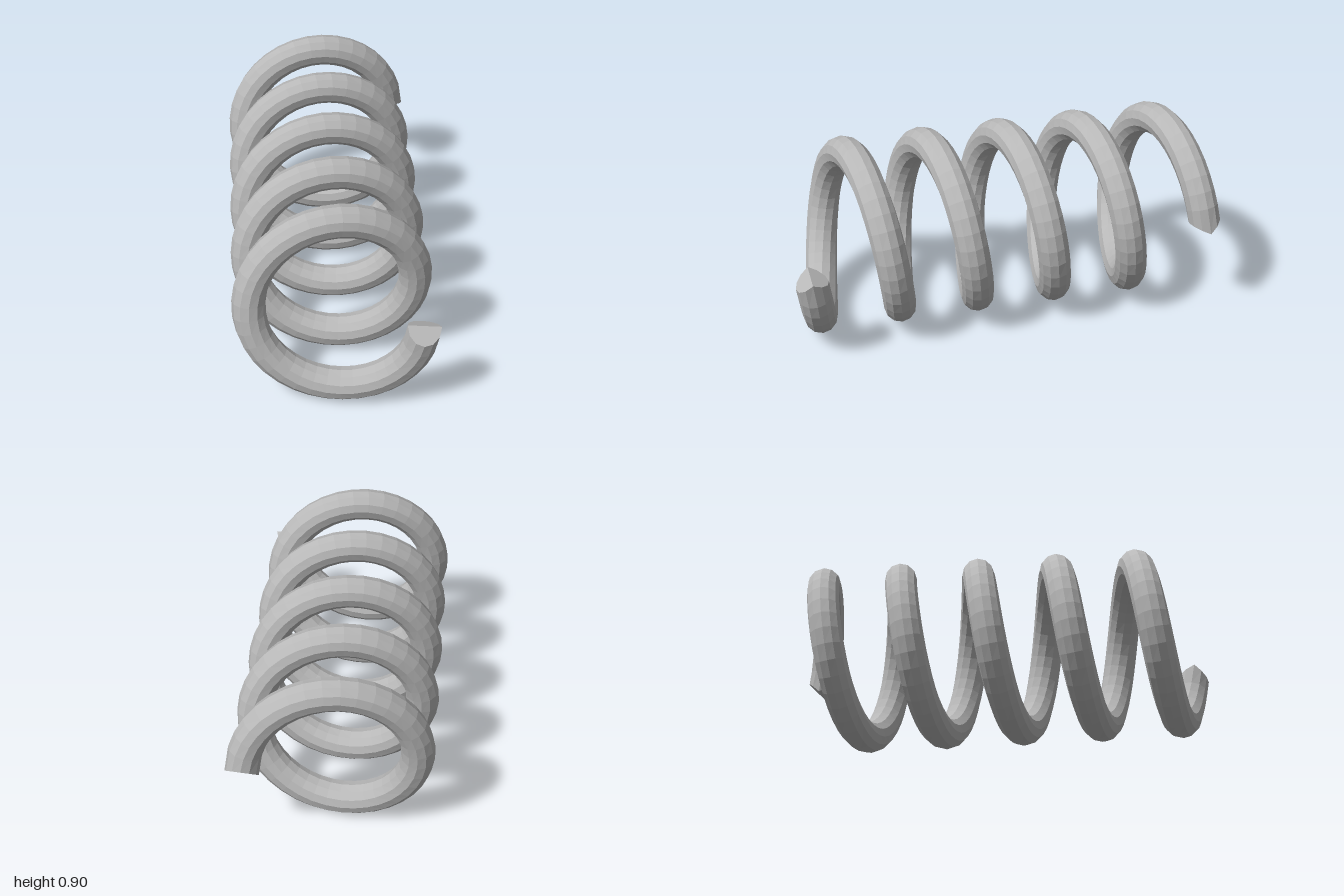
import * as THREE from 'three';

const COIL_RADIUS = 0.375, WIRE_RADIUS = 0.075, CENTRE_Y = 0.45;
const END_Z = 0.926, START_ANGLE = -0.1, TURNS = 5;
const SIDES = 12, STEPS = 180, TIP = 0.05;

// Helical wire swept along z, with a wedge-shaped tip at both ends
function coilGeometry() {
  const sweep = -(TURNS * 2 * Math.PI + 2 * START_ANGLE);
  const positions = [], indices = [];
  const at = (i, j) => i * SIDES + ((j + SIDES) % SIDES);

  for (let i = 0; i <= STEPS; i++) {
    const t = i / STEPS, a = START_ANGLE + sweep * t;
    const c = Math.cos(a), s = Math.sin(a);
    const centre = new THREE.Vector3(COIL_RADIUS * c, CENTRE_Y + COIL_RADIUS * s, END_Z * (1 - 2 * t));
    const tangent = new THREE.Vector3(-COIL_RADIUS * s * sweep, COIL_RADIUS * c * sweep, -2 * END_Z).normalize();
    const outward = new THREE.Vector3(c, s, 0);
    const side = tangent.clone().cross(outward);
    const end = i === 0 ? -1 : i === STEPS ? 1 : 0;
    for (let j = 0; j < SIDES; j++) {
      const phi = (j / SIDES) * 2 * Math.PI;
      const p = centre.clone()
        .addScaledVector(outward, WIRE_RADIUS * Math.cos(phi))
        .addScaledVector(side, WIRE_RADIUS * Math.sin(phi))
        .addScaledVector(tangent, end * TIP * (1 - Math.abs(Math.sin(phi))));
      positions.push(p.x, p.y, p.z);
    }
  }

  // Wire surface
  for (let i = 0; i < STEPS; i++) {
    for (let j = 0; j < SIDES; j++) {
      const a = at(i, j), b = at(i, j + 1), c = at(i + 1, j + 1), d = at(i + 1, j);
      indices.push(a, b, c, a, c, d);
    }
  }

  // Wedge caps, built as strips across the wire
  const triangle = (a, b, c, flip) => {
    if (a !== b && b !== c && a !== c) indices.push(...(flip ? [a, c, b] : [a, b, c]));
  };
  for (const i of [0, STEPS]) {
    for (let j = -SIDES / 4; j < SIDES / 4; j++) {
      const p = at(i, j), q = at(i, j + 1);
      const p2 = at(i, SIDES / 2 - j), q2 = at(i, SIDES / 2 - j - 1);
      triangle(p, q, q2, i === 0);
      triangle(p, q2, p2, i === 0);
    }
  }

  const indexed = new THREE.BufferGeometry();
  indexed.setAttribute('position', new THREE.Float32BufferAttribute(positions, 3));
  indexed.setIndex(indices);
  const geometry = indexed.toNonIndexed(); // separate faces give flat facets
  geometry.computeVertexNormals();
  return geometry;
}

export function createModel() {
  const group = new THREE.Group();
  group.name = 'coilSpring';
  const steel = new THREE.MeshStandardMaterial({ color: 0xb8b8b8 });
  steel.name = 'steel grey';
  const coil = new THREE.Mesh(coilGeometry(), steel);
  coil.name = 'springCoil';
  group.add(coil);
  return group;
}
